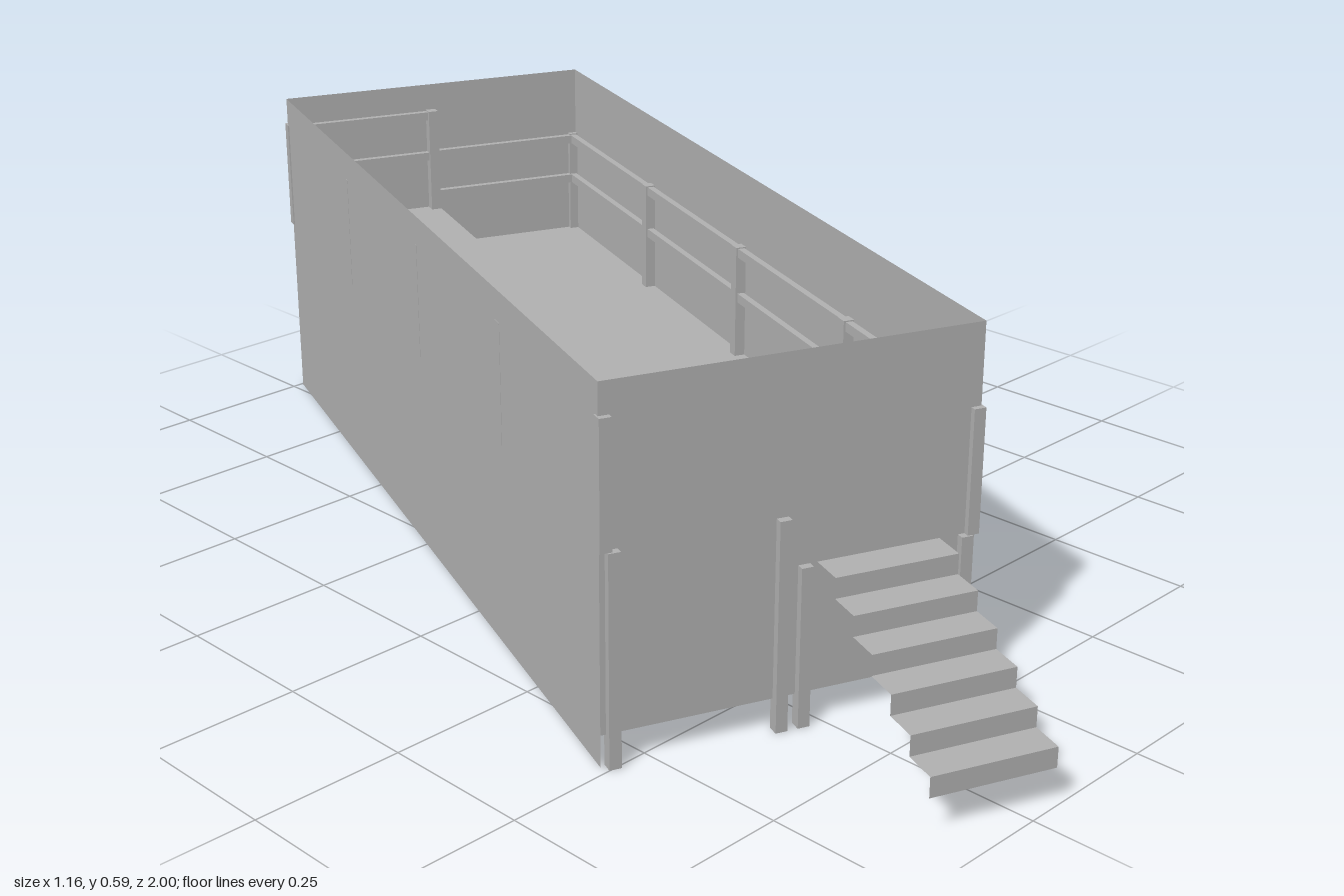
import * as THREE from 'three';

export function createModel() {
  const grey = new THREE.MeshStandardMaterial({ color: 0xb2b2b2, side: THREE.DoubleSide });
  grey.name = 'plain grey';
  const W = 0.595, L = 1.595, TOP = 0.59;
  const LOW = 0.26, HIGH = 0.34, RAIL = 0.2, POST = 0.019;

  const model = new THREE.Group();
  model.name = 'deck';
  const body = new THREE.Group();
  body.name = 'enclosedDeck';
  body.position.set(0, 0, -0.145);
  body.rotation.y = -Math.atan2(0.3714, 0.9285);
  model.add(body);

  function box(name, x0, x1, y0, y1, z0, z1) {
    const m = new THREE.Mesh(new THREE.BoxGeometry(x1 - x0, y1 - y0, z1 - z0), grey);
    m.position.set((x0 + x1) / 2, (y0 + y1) / 2, (z0 + z1) / 2);
    m.name = name;
    body.add(m);
  }
  const post = (name, x, z, y0, y1) =>
    box(name, x - POST / 2, x + POST / 2, y0, y1, z - POST / 2, z + POST / 2);
  function sheet(name, w, h, x, y, z, rx, ry) {
    const m = new THREE.Mesh(new THREE.PlaneGeometry(w, h), grey);
    m.position.set(x, y, z);
    m.rotation.set(rx, ry, 0);
    m.name = name;
    body.add(m);
  }

  // Thin walls: the long ones reach the ground, the end ones stop above it
  for (const s of [-1, 1]) {
    sheet('longWall', L, TOP, s * W / 2, TOP / 2, 0, 0, s * Math.PI / 2);
    sheet('endWall', W, TOP - 0.052, 0, (TOP + 0.052) / 2, s * L / 2, 0, s > 0 ? 0 : Math.PI);
  }

  // Two deck halves at different heights, each with its posts and railing
  for (const s of [-1, 1]) {
    const y = s > 0 ? LOW : HIGH;
    const edge = s * (W / 2 - 0.009);
    box('deckFloor', s > 0 ? 0 : -W / 2, s > 0 ? W / 2 : 0, y - 0.02, y, -L / 2, L / 2);

    for (let i = 0; i <= 4; i++) {
      const z = -L / 2 + i * L / 4;
      const end = i === 0 ? -1 : i === 4 ? 1 : 0;
      const top = end ? y : y - 0.01;
      post('supportPost', s * 0.018, z + end * 0.003, 0, top);
      post('supportPost', s * (W / 2 - 0.018), z + end * 0.003, 0, top);
      post('railPost', edge + (end ? s * 0.002 : 0), z, y, y + RAIL);
    }

    // Upper and middle rails along the side and both ends
    for (const ry of [y + RAIL - 0.018, y + RAIL / 2]) {
      box('sideRail', edge - 0.006, edge + 0.006, ry, ry + 0.016, -L / 2 + 0.01, L / 2 - 0.01);
      for (const e of [-1, 1]) {
        const z = e * (L / 2 - 0.009);
        box('endRail', Math.min(0, edge), Math.max(0, edge), ry, ry + 0.016, z - 0.006, z + 0.006);
      }
    }
  }

  // Railing posts in the middle of each end
  for (const e of [-1, 1]) post('middleRailPost', -0.01, e * (L / 2 - 0.011), HIGH, HIGH + RAIL);

  // Stairs as a folded sheet of treads and risers
  const run = 0.0565, rise = 0.033, width = 0.2, sx = 0.139;
  for (let k = 0; k < 6; k++) {
    const z = L / 2 + k * run, y = LOW - k * rise;
    sheet('stairTread', width, run, sx, y, z + run / 2, -Math.PI / 2, 0);
    sheet('stairRiser', width, rise, sx, y - rise / 2, z + run, 0, 0);
  }
  return model;
}
